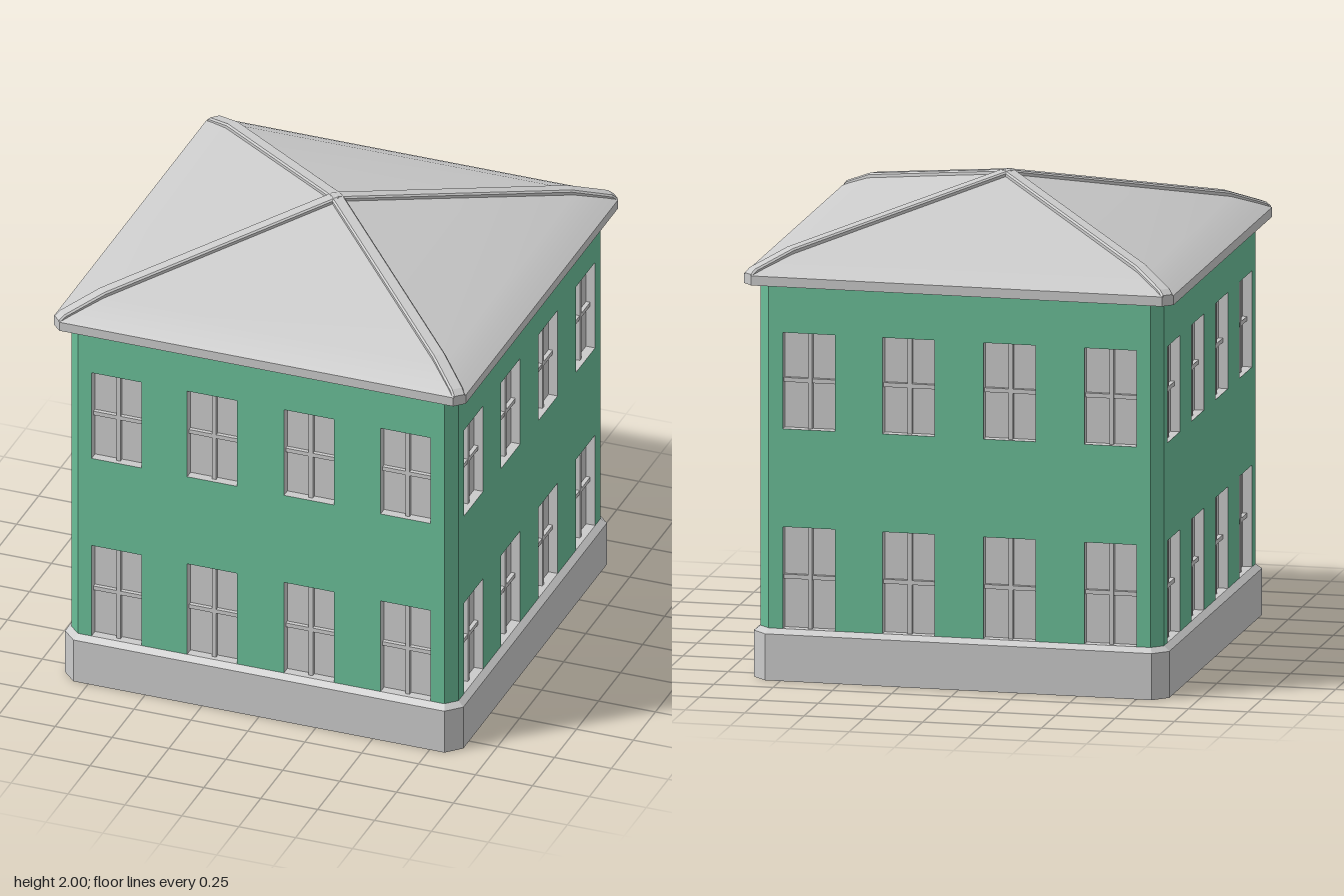
import * as THREE from 'three';
import { ConvexGeometry } from 'three/addons/geometries/ConvexGeometry.js';

const grey = new THREE.MeshStandardMaterial({ color: 0xcccccc });
const green = new THREE.MeshStandardMaterial({ color: 0x6abe98 });

function add(parent, name, geometry, material = grey) {
  const mesh = new THREE.Mesh(geometry, material);
  mesh.name = name;
  parent.add(mesh);
  return mesh;
}

// Square block with chamfered corners; each ring is [half width, chamfer, y]
function chamferedBlock(rings) {
  const points = [];
  for (const [h, c, y] of rings)
    for (const sx of [-1, 1])
      for (const sz of [-1, 1])
        points.push(
          new THREE.Vector3(sx * h, y, sz * (h - c)),
          new THREE.Vector3(sx * (h - c), y, sz * h));
  return new ConvexGeometry(points);
}

function polygon(points) {
  return new THREE.Shape(points.map(([x, y]) => new THREE.Vector2(x, y)));
}

const WALL = 0.85, CHAMFER = 0.045, RECESS = 0.045;
const WALL_BOTTOM = 0.2, WALL_TOP = 1.67;
const COLUMNS = [-0.635, -0.215, 0.21, 0.635];
const ROWS = [
  { bottom: 0.215, top: 0.642, bar: 0.43 },
  { bottom: 1.053, top: 1.457, bar: 1.255 },
];
const WINDOW_W = 0.22;

// One wall with its window openings, panes and glazing bars
function createSide() {
  const side = new THREE.Group();
  const w = WALL - CHAMFER;
  const shape = polygon([[-w, WALL_BOTTOM], [w, WALL_BOTTOM], [w, WALL_TOP], [-w, WALL_TOP]]);
  for (const { bottom, top, bar } of ROWS) {
    for (const x of COLUMNS) {
      const l = x - WINDOW_W / 2, r = x + WINDOW_W / 2;
      shape.holes.push(polygon([[l, bottom], [l, top], [r, top], [r, bottom]]));

      const win = new THREE.Group();
      win.name = 'window';
      win.position.set(x, 0, WALL - RECESS);
      const h = top - bottom;
      add(win, 'pane', new THREE.BoxGeometry(WINDOW_W + 0.01, h + 0.01, 0.01))
        .position.set(0, (top + bottom) / 2, 0);
      add(win, 'verticalBar', new THREE.BoxGeometry(0.018, h, 0.02))
        .position.set(0, (top + bottom) / 2, 0.014);
      add(win, 'horizontalBar', new THREE.BoxGeometry(WINDOW_W, 0.018, 0.02))
        .position.set(0, bar, 0.013);
      side.add(win);
    }
  }
  const wall = new THREE.ExtrudeGeometry(shape, { depth: RECESS, bevelEnabled: false });
  wall.translate(0, 0, WALL - RECESS);
  add(side, 'wall', wall, [green, grey]); // green faces, grey reveals

  // Chamfered corner strip at the right-hand end of the wall
  const corner = new THREE.ExtrudeGeometry(
    polygon([[w, -w], [WALL, -w], [w, -WALL]]),
    { depth: WALL_TOP - WALL_BOTTOM, bevelEnabled: false });
  corner.rotateX(-Math.PI / 2).translate(0, WALL_BOTTOM, 0);
  add(side, 'wallCorner', corner, green);
  return side;
}

// One curved triangular roof slope, steeper towards the eave
function createSlope() {
  const profile = [[0.905, 1.7], [0.865, 1.721], [0.765, 1.768], [0.4, 1.873], [0.001, 1.987]];
  const positions = [], index = [];
  profile.forEach(([s, y], i) => {
    const x = Math.min(s, 0.865);
    positions.push(-x, y, s, x, y, s);
    if (i > 0) {
      const a = 2 * (i - 1);
      index.push(a, a + 1, a + 3, a, a + 3, a + 2);
    }
  });
  const g = new THREE.BufferGeometry();
  g.setAttribute('position', new THREE.Float32BufferAttribute(positions, 3));
  g.setIndex(index);
  g.computeVertexNormals();
  return g;
}

// Raised cap running down one hip from the peak to the corner of the eave
function createHip() {
  const k = Math.SQRT2, bevel = 0.007, width = 0.057;
  const shape = polygon([
    [0, 1.9], [0.7 * k, 1.68], [0.75 * k, 1.662], [0.885 * k, 1.662], [0.885 * k, 1.705],
    [0.868 * k, 1.725], [0.74 * k, 1.79], [0, 2],
  ]);
  const g = new THREE.ExtrudeGeometry(shape, {
    depth: width - 2 * bevel, bevelThickness: bevel, bevelSize: bevel,
    bevelOffset: -bevel, bevelSegments: 1,
  });
  return g.translate(0, 0, bevel - width / 2).rotateY(Math.PI / 4);
}

export function createModel() {
  const model = new THREE.Group();
  model.name = 'house';

  // Plinth with a sloping top edge
  add(model, 'plinth', chamferedBlock([
    [0.875, 0.06, 0], [0.875, 0.06, 0.195], [0.85, 0.045, 0.215],
  ]));

  // Eave slab
  add(model, 'eave', chamferedBlock([[0.905, 0.04, 1.66], [0.905, 0.04, 1.7]]));

  // Four identical sides, each with a wall, a roof slope and a hip
  const slope = createSlope(), hip = createHip();
  for (let i = 0; i < 4; i++) {
    const side = createSide();
    side.name = ['frontSide', 'leftSide', 'backSide', 'rightSide'][i];
    add(side, 'roofSlope', slope);
    add(side, 'roofHip', hip);
    side.rotation.y = i * Math.PI / 2;
    model.add(side);
  }
  return model;
}
